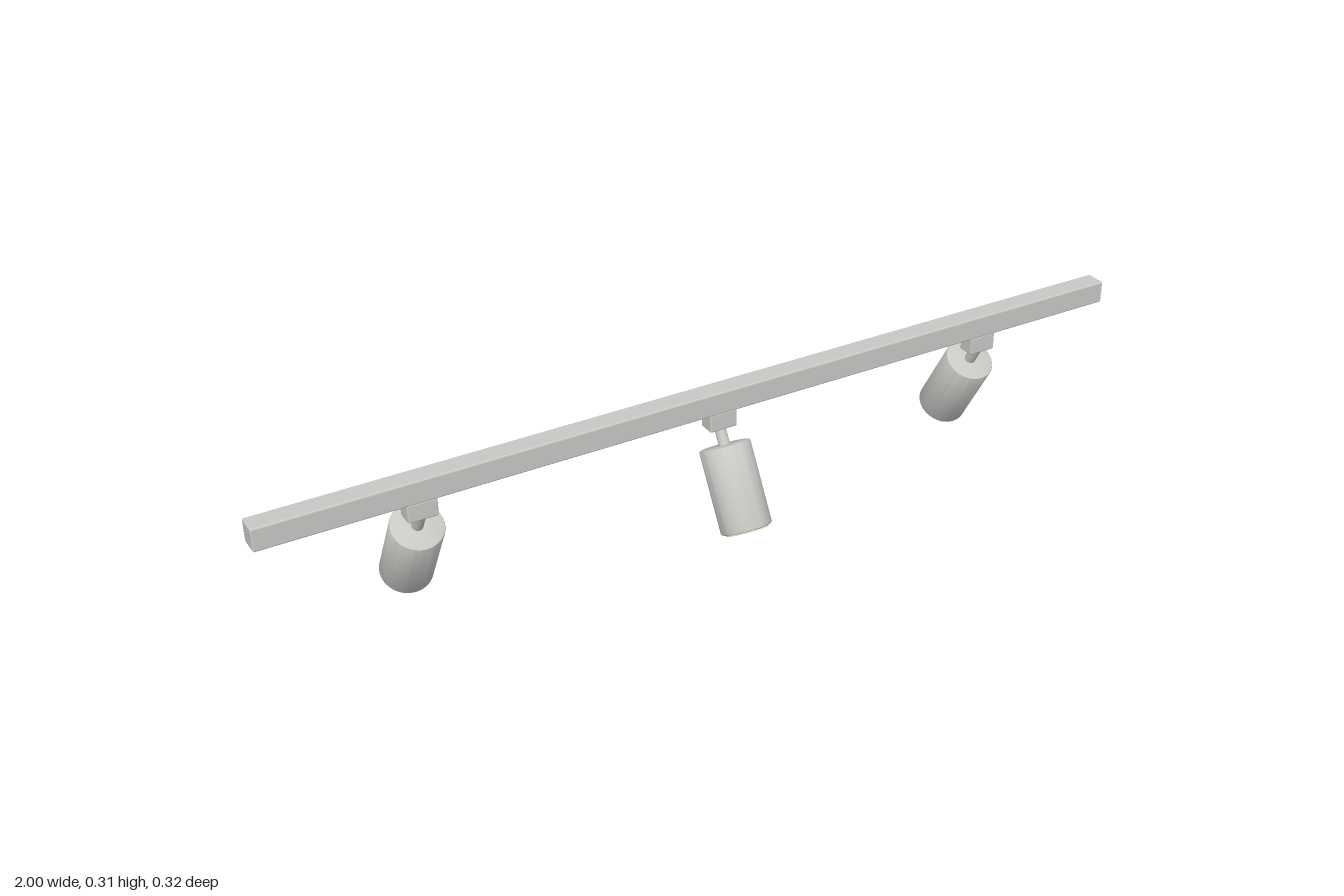
import * as THREE from 'three';
import { toCreasedNormals } from 'three/addons/utils/BufferGeometryUtils.js';
import { RoundedBoxGeometry } from 'three/addons/geometries/RoundedBoxGeometry.js';

const TILT = Math.PI / 6;
const PIVOT_Y = 0.225;

function part(name, geometry, material, y = 0) {
  const mesh = new THREE.Mesh(geometry, material);
  mesh.name = name;
  mesh.position.y = y;
  return mesh;
}

// Solid of revolution with a small bevel on both rims, hanging from top to bottom
function bevelledCylinder(radius, top, bottom, bevel) {
  const profile = [
    [0, bottom],
    [radius - bevel, bottom],
    [radius - bevel * 0.3, bottom + bevel * 0.3],
    [radius, bottom + bevel],
    [radius, top - bevel],
    [radius - bevel * 0.3, top - bevel * 0.3],
    [radius - bevel, top],
    [0, top],
  ].map(([x, y]) => new THREE.Vector2(x, y));
  return toCreasedNormals(new THREE.LatheGeometry(profile, 48), 0.6);
}

export function createModel() {
  const metal = new THREE.MeshStandardMaterial({ color: 0xc8c8c5 });
  metal.name = 'satin metal';
  const glow = new THREE.MeshStandardMaterial({ color: 0xe8dec8 });
  glow.name = 'warm lens';

  const model = new THREE.Group();
  model.name = 'trackLight';

  // Ceiling rail
  model.add(part('rail', new RoundedBoxGeometry(2, 0.051, 0.047, 3, 0.004), metal, 0.2905));

  // Spot lamps: the middle one aims forward, the outer two backward
  for (const [x, aim] of [[-0.667, 1], [0, -1], [0.667, 1]]) {
    const spot = new THREE.Group();
    spot.name = 'spot';
    spot.position.x = x;
    spot.add(part('adapter', new RoundedBoxGeometry(0.064, 0.041, 0.039, 3, 0.004), metal, 0.2445));

    // Tilting head, built hanging straight down from its pivot
    const head = new THREE.Group();
    head.name = 'head';
    head.position.y = PIVOT_Y;
    head.rotation.x = aim * TILT;
    head.add(part('stem', new THREE.CylinderGeometry(0.012, 0.012, 0.055, 24), metal, -0.0225));
    head.add(part('housing', bevelledCylinder(0.055, -0.042, -0.224, 0.004), metal));
    head.add(part('lens', new THREE.CylinderGeometry(0.046, 0.046, 0.008, 48), glow, -0.2235));
    spot.add(head);
    model.add(spot);
  }
  return model;
}
